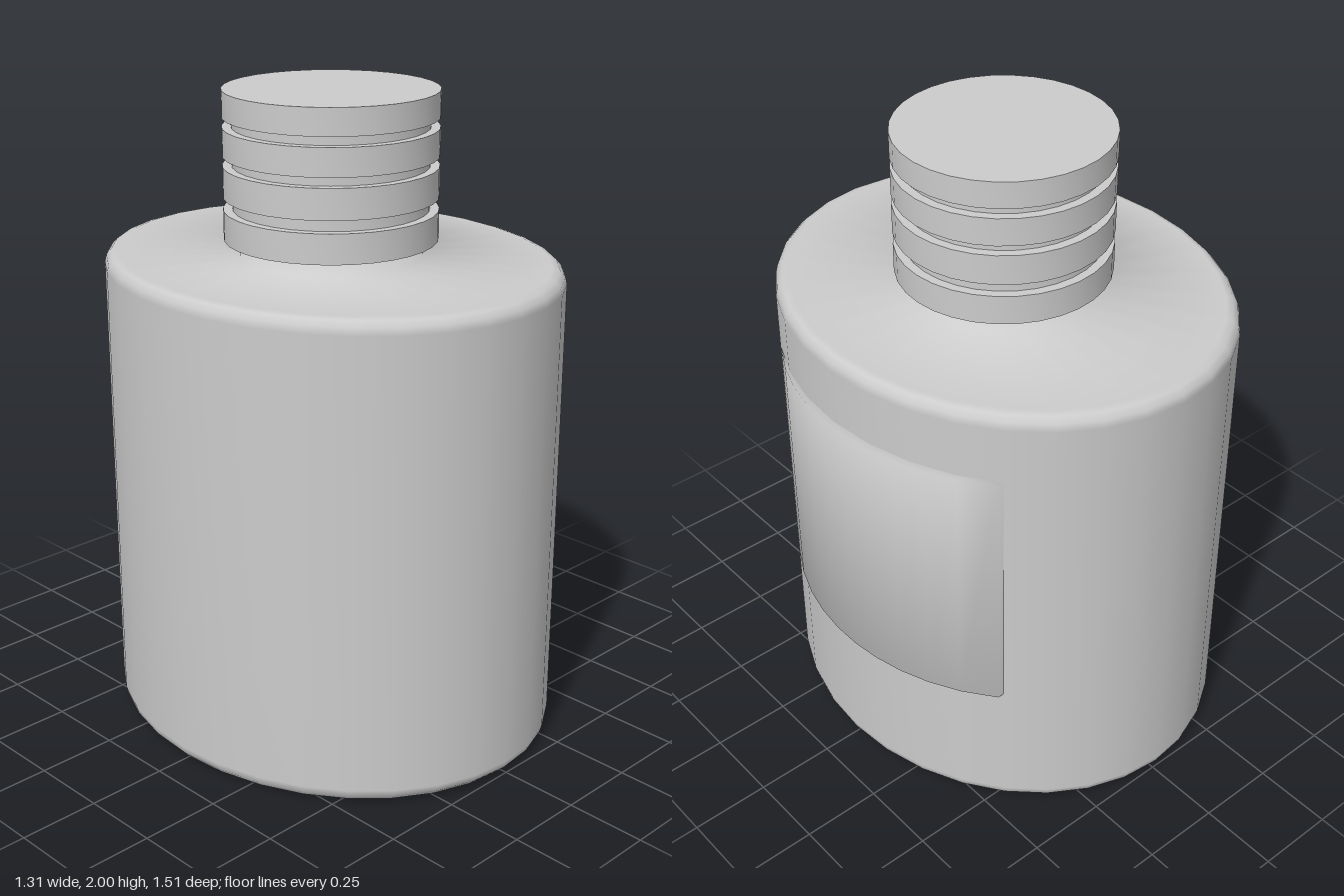
import * as THREE from 'three';
import { mergeVertices, toCreasedNormals } from 'three/addons/utils/BufferGeometryUtils.js';

const SIDES = 32;
const CENTRE_X = -0.011;
const BODY_RX = 0.643, BODY_RZ = 0.755, BODY_TOP = 1.5, BEVEL = 0.045;

// Weld the seams, then shade smoothly across every edge
function smooth(geometry) {
  geometry.deleteAttribute('normal');
  geometry.deleteAttribute('uv');
  const welded = mergeVertices(geometry, 1e-4);
  welded.computeVertexNormals();
  return welded;
}

// Quarter-round corner of the body, from angle a0 to a1
function corner(y, a0, a1) {
  return [0, 1, 2, 3].map(i => {
    const a = a0 + (a1 - a0) * i / 3;
    return new THREE.Vector2(BODY_RZ - BEVEL + BEVEL * Math.cos(a), y + BEVEL * Math.sin(a));
  });
}

// Oval body blending over its flat shoulder into a round neck
function bodyGeometry() {
  const neckR = 0.28;
  const profile = [
    new THREE.Vector2(0, 0),
    ...corner(BEVEL, -Math.PI / 2, 0),
    ...corner(BODY_TOP - BEVEL, 0, Math.PI / 2),
    new THREE.Vector2(neckR, BODY_TOP),
    new THREE.Vector2(neckR, 1.9),
  ];
  const geometry = new THREE.LatheGeometry(profile, SIDES);
  const p = geometry.attributes.position;
  for (let i = 0; i < p.count; i++) {
    const r = Math.hypot(p.getX(i), p.getZ(i));
    if (r > neckR + 0.01) p.setX(i, p.getX(i) * BODY_RX / BODY_RZ);
  }
  return smooth(geometry);
}

// Stacked cap rings separated by narrow grooves
function capGeometry() {
  const ringR = 0.326, grooveR = 0.298;
  const rings = [[1.548, 1.64], [1.678, 1.772], [1.802, 1.888], [1.918, 2]];
  const profile = [new THREE.Vector2(0.27, 1.548)];
  rings.forEach(([low, high], i) => {
    if (i > 0) profile.push(new THREE.Vector2(grooveR, low));
    profile.push(new THREE.Vector2(ringR, low), new THREE.Vector2(ringR, high));
    if (i < rings.length - 1) profile.push(new THREE.Vector2(grooveR, high));
  });
  profile.push(new THREE.Vector2(0, 2));
  return toCreasedNormals(new THREE.LatheGeometry(profile, SIDES), 0.6);
}

// Curved panel set into the side, its outer face following a flatter oval
function labelGeometry() {
  const height = 0.815, zFront = 0.405, zBack = -0.53;
  const geometry = new THREE.BoxGeometry(1, height, 1, 1, 1, 10);
  const p = geometry.attributes.position;
  for (let i = 0; i < p.count; i++) {
    const z = THREE.MathUtils.lerp(zBack, zFront, p.getZ(i) + 0.5);
    const outer = 0.665 * Math.sqrt(1 - ((z + 0.02) / 0.735) ** 2);
    p.setXYZ(i, p.getX(i) > 0 ? outer : outer - 0.3, p.getY(i) + 0.87, z);
  }
  return smooth(geometry);
}

export function createModel() {
  const group = new THREE.Group();
  group.name = 'bottle';
  const material = new THREE.MeshStandardMaterial({ color: 0xcccccc, side: THREE.DoubleSide });
  const parts = { body: bodyGeometry(), cap: capGeometry(), sideLabel: labelGeometry() };
  for (const [name, geometry] of Object.entries(parts)) {
    const mesh = new THREE.Mesh(geometry, material);
    mesh.name = name;
    mesh.position.x = CENTRE_X;
    group.add(mesh);
  }
  return group;
}
